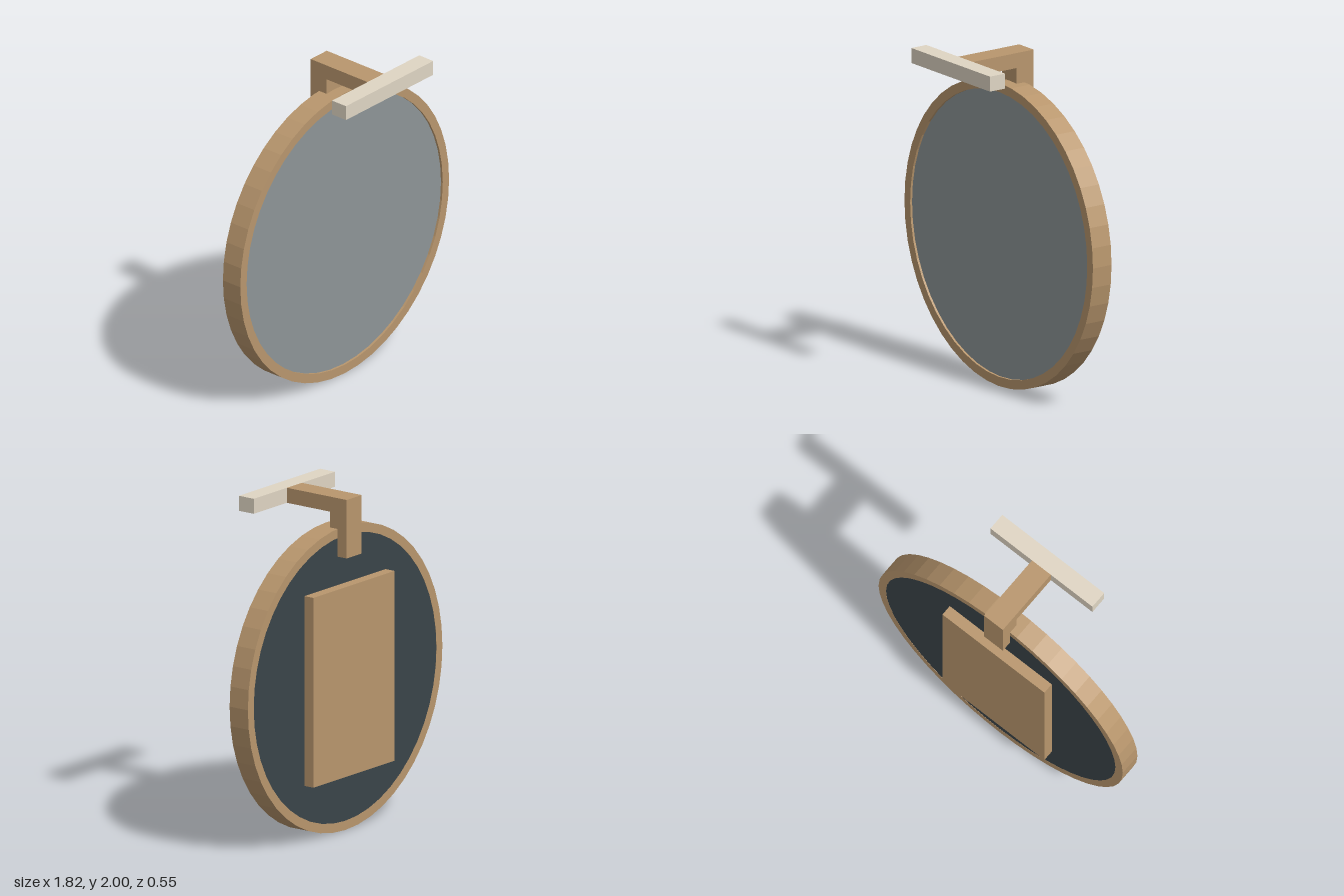
import * as THREE from 'three';

const CENTRE_Y = 0.91, OUTER = 0.91, INNER = 0.855, SEGMENTS = 48;

export function createModel() {
  const model = new THREE.Group();
  model.name = 'wallMirror';

  const paint = (name, color) => {
    const material = new THREE.MeshStandardMaterial({ color });
    material.name = name;
    return material;
  };
  const wood = paint('wood', 0xb8966d);
  const glass = paint('mirrorGlass', 0x8d9597);
  const backing = paint('darkBacking', 0x3a4449);
  const diffuser = paint('lampDiffuser', 0xdfd5c3);

  const add = (name, geometry, material) => {
    const mesh = new THREE.Mesh(geometry, material);
    mesh.name = name;
    model.add(mesh);
    return mesh;
  };
  // Box centred on x, given its half width and its y and z ranges
  const box = (name, halfX, [y0, y1], [z0, z1], material) =>
    add(name, new THREE.BoxGeometry(2 * halfX, y1 - y0, z1 - z0), material)
      .position.set(0, (y0 + y1) / 2, (z0 + z1) / 2);

  // Round frame: faceted ring (an arc yields two points per curve segment)
  const ring = new THREE.Shape().absarc(0, 0, OUTER, 0, Math.PI * 2);
  ring.holes.push(new THREE.Path().absarc(0, 0, INNER, 0, Math.PI * 2, true));
  add('frame', new THREE.ExtrudeGeometry(ring, {
    depth: 0.134, bevelEnabled: false, curveSegments: SEGMENTS / 2,
  }), wood).position.set(0, CENTRE_Y, -0.207);

  // Glass, slightly recessed, and the backing disc behind it
  const disc = (name, z0, z1, material) => {
    const geometry = new THREE.CylinderGeometry(INNER, INNER, z1 - z0, SEGMENTS);
    geometry.rotateX(Math.PI / 2).rotateZ(Math.PI / 2);
    add(name, geometry, material).position.set(0, CENTRE_Y, (z0 + z1) / 2);
  };
  disc('mirrorGlass', -0.11, -0.087, glass);
  disc('backingDisc', -0.206, -0.11, backing);

  // Wall plate on the back
  box('backPlate', 0.38, [0.345, 1.48], [-0.273, -0.2], wood);

  // Lamp bracket: upright behind the rim, arm reaching forward, light bar
  box('bracketUpright', 0.07, [1.65, 2], [-0.273, -0.15], wood);
  box('bracketArm', 0.07, [1.91, 2], [-0.15, 0.165], wood);
  box('lampBar', 0.38, [1.91, 2], [0.165, 0.273], diffuser);

  return model;
}
